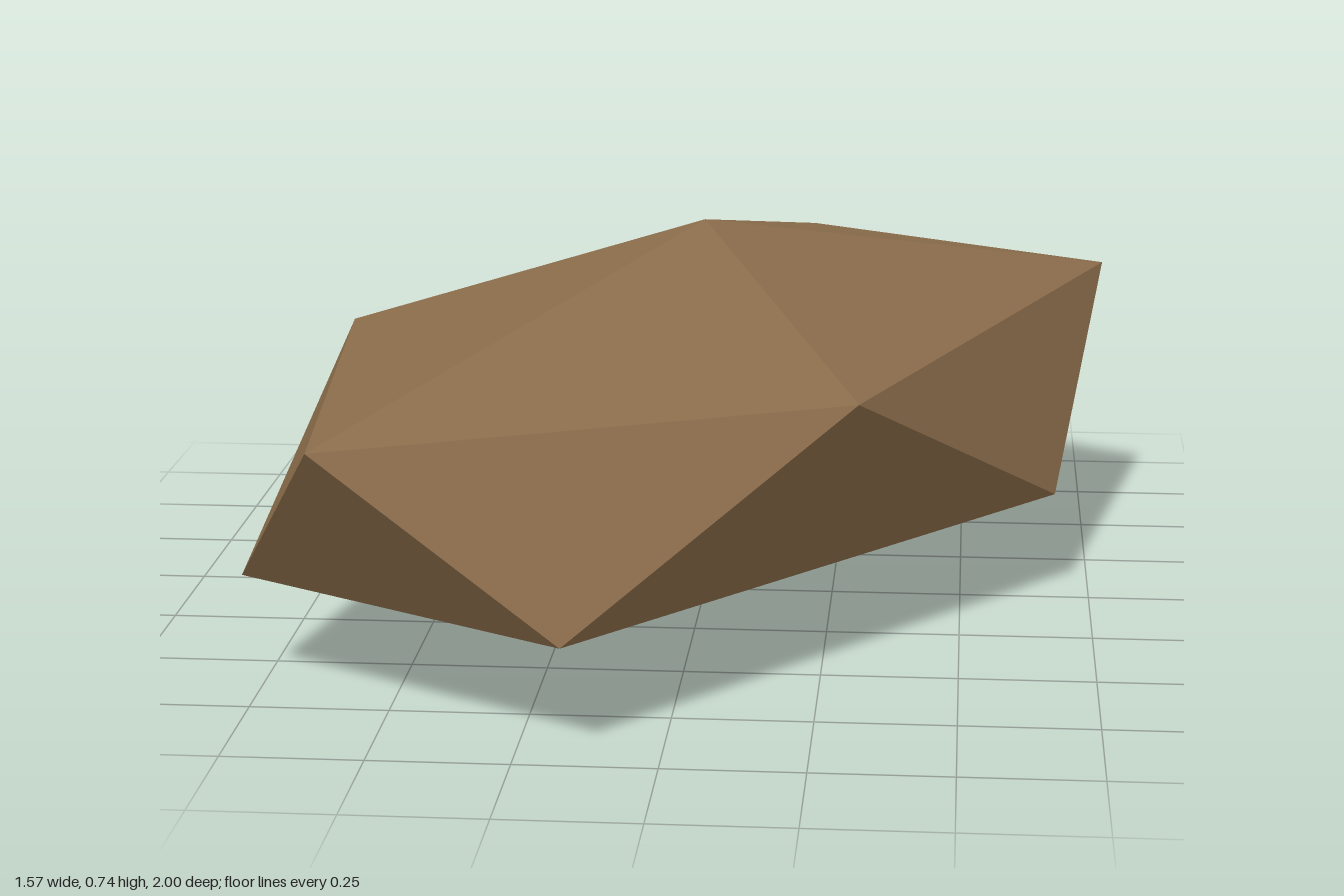
import * as THREE from 'three';

// Faceted stone: an icosahedron stretched into a slanted, flattened ellipsoid.
export function createModel() {
  const group = new THREE.Group();
  const stoneBrown = new THREE.MeshStandardMaterial({ color: 0x8b6d4b });
  stoneBrown.flatShading = true;

  const halfHeight = 0.37;
  const ringHeight = halfHeight / Math.sqrt(5);
  const top = new THREE.Vector3(0, halfHeight, 0);

  // Upper five-point ring on a skewed ellipse spanned by two half-axes
  const axisA = new THREE.Vector3(0.166, 0, -0.99);
  const axisB = new THREE.Vector3(0.769, 0, -0.336);
  const upper = (i) => {
    const angle = (i * Math.PI * 2) / 5;
    return new THREE.Vector3(0, ringHeight, 0)
      .addScaledVector(axisA, Math.cos(angle))
      .addScaledVector(axisB, Math.sin(angle));
  };
  // The lower ring is the upper ring reflected through the centre
  const lower = (i) => upper(i).negate();

  // Each face is paired with its reflection through the centre
  const points = [];
  const addPair = (a, b, c) => {
    points.push(a, b, c);
    points.push(c.clone().negate(), b.clone().negate(), a.clone().negate());
  };
  for (let i = 0; i < 5; i++) {
    addPair(top, upper(i + 1), upper(i)); // cap
    addPair(upper(i), upper(i + 1), lower(i + 3)); // side band
  }

  const geometry = new THREE.BufferGeometry().setFromPoints(points);
  geometry.computeVertexNormals();
  const stone = new THREE.Mesh(geometry, stoneBrown);
  stone.name = 'stone';
  stone.position.y = halfHeight;
  group.add(stone);
  return group;
}
